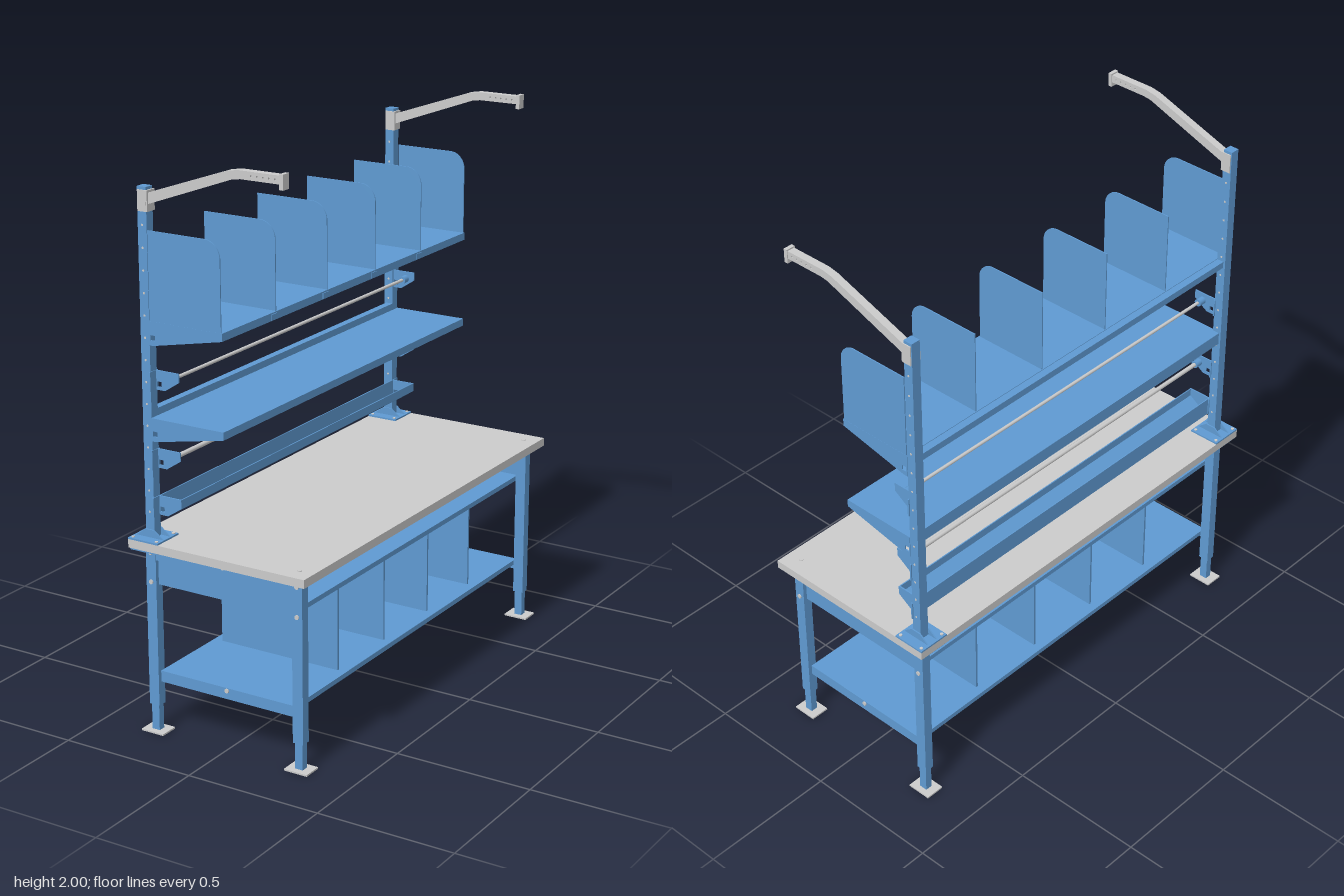
import * as THREE from 'three';

const blue = new THREE.MeshStandardMaterial({ color: 0x5f9ad2 });
const grey = new THREE.MeshStandardMaterial({ color: 0xcccccc });

export function createModel() {
  const root = new THREE.Group();
  root.name = 'packingBench';

  const add = (name, geometry, material) => {
    const mesh = new THREE.Mesh(geometry, material);
    mesh.name = name;
    root.add(mesh);
    return mesh;
  };
  // Box given by its limits on each axis
  const box = (name, x0, x1, y0, y1, z0, z1, material = blue) => {
    const mesh = add(name, new THREE.BoxGeometry(x1 - x0, y1 - y0, z1 - z0), material);
    mesh.position.set((x0 + x1) / 2, (y0 + y1) / 2, (z0 + z1) / 2);
    return mesh;
  };
  // Side profile in x and y, extruded along z about its middle
  const plate = (name, shape, z, thickness, material = blue) => {
    const g = new THREE.ExtrudeGeometry(shape, { depth: thickness, bevelEnabled: false, curveSegments: 8 });
    g.translate(0, 0, z - thickness / 2);
    return add(name, g, material);
  };
  const poly = (points) => new THREE.Shape(points.map(([x, y]) => new THREE.Vector2(x, y)));
  const squareHole = (x, y, s) => new THREE.Path(
    [[x - s, y - s], [x - s, y + s], [x + s, y + s], [x + s, y - s]].map(([a, b]) => new THREE.Vector2(a, b)));
  const rod = (name, x, y, z, radius, length, material = grey) => {
    const g = new THREE.CylinderGeometry(radius, radius, length, 12);
    g.rotateX(Math.PI / 2);
    add(name, g, material).position.set(x, y, z);
  };

  // Worktop and the frame below it
  box('worktop', -0.35, 0.345, 0.675, 0.705, -0.83, 0.83, grey);
  for (const x of [-0.28, 0.28]) box('longRail', x - 0.012, x + 0.012, 0.635, 0.675, -0.755, 0.755);

  for (const s of [-1, 1]) {
    const z = s * 0.77;
    // Legs with telescopic feet
    for (const x of [-0.29, 0.29]) {
      box('leg', x - 0.02, x + 0.02, 0.1, 0.675, z - 0.0175, z + 0.0175);
      box('innerLeg', x - 0.015, x + 0.015, 0.006, 0.1, z - 0.013, z + 0.013);
      box('footPlate', x - 0.045, x + 0.045, 0, 0.006, z - 0.035, z + 0.035, grey);
      for (const y of [0.55, 0.655]) rod('legBolt', x, y, z + s * 0.0185, 0.008, 0.006);
    }
    box('endRail', -0.27, 0.27, 0.63, 0.675, z - 0.015, z + 0.015);
    box('endPanel', -0.27, 0.27, 0.54, 0.63, z - 0.003, z + 0.003);
    box('lowerShelfEnd', -0.27, 0.27, 0.185, 0.225, z - 0.003, z + 0.003);
    rod('railBolt', 0, 0.66, z + s * 0.016, 0.008, 0.006);
    rod('shelfBolt', 0, 0.215, z + s * 0.004, 0.008, 0.006);
    const disc = add('worktopBolt', new THREE.CylinderGeometry(0.008, 0.008, 0.003, 12), grey);
    disc.position.set(0.29, 0.706, z);

    // Upright, its base plate and gussets
    box('upright', -0.306, -0.271, 0.705, 1.9, z - 0.0175, z + 0.0175);
    box('basePlate', -0.35, -0.23, 0.705, 0.711, z - 0.06, z + 0.06);
    box('underPlate', -0.345, -0.235, 0.668, 0.675, z - 0.055, z + 0.055);
    for (const d of [-0.02, 0.02]) {
      plate('baseGusset', poly([[-0.343, 0.71], [-0.235, 0.71], [-0.271, 0.738], [-0.306, 0.738]]), z + d, 0.005);
    }
    for (const x of [-0.338, -0.242]) for (const d of [-0.048, 0.048]) {
      const bolt = add('baseBolt', new THREE.CylinderGeometry(0.006, 0.006, 0.044, 8), grey);
      bolt.position.set(x, 0.692, z + d);
    }
    // Row of slots on the upright's faces
    for (let y = 0.8; y < 1.8; y += 0.075) {
      rod('uprightPin', -0.2885, y, z, 0.004, 0.037);
    }

    // Cranked overhead arm with clamp and end plate
    const armShape = poly([[-0.271, 1.843], [0.06, 1.963], [0.09, 1.967], [0.24, 1.967],
      [0.24, 1.995], [0.08, 1.995], [0.04, 1.988], [-0.271, 1.88]]);
    for (let i = 0; i < 5; i++) armShape.holes.push(squareHole(0.13 + i * 0.022, 1.981, 0.003));
    plate('overheadArm', armShape, z, 0.028, grey);
    box('armEndPlate', 0.236, 0.25, 1.95, 2, z - 0.017, z + 0.017, grey);
    box('armClampFront', -0.271, -0.265, 1.82, 1.89, z - 0.021, z + 0.021, grey);
    for (const d of [-0.0195, 0.0195]) box('armClampSide', -0.303, -0.271, 1.82, 1.89, z + d - 0.002, z + d + 0.002, grey);

    // Tapered shelf brackets
    for (const y of [1.05, 1.378]) {
      const h = y > 1.2 ? 1.46 : 1.13;
      const shape = poly([[-0.271, y], [-0.255, y], [0.015, h - 0.027], [0.015, h], [-0.271, h]]);
      shape.holes.push(squareHole(-0.257, y + 0.026, 0.009));
      plate('shelfBracket', shape, s * 0.787, 0.005);
    }
    // Short brackets for the roll rods and the tray
    for (const y of [0.785, 0.95, 1.22]) {
      const shape = poly([[-0.271, y], [-0.235, y], [-0.18, y + 0.036], [-0.18, y + 0.067], [-0.271, y + 0.067]]);
      shape.holes.push(squareHole(-0.257, y + 0.02, 0.009));
      plate('shortBracket', shape, s * 0.757, 0.005);
      box('bracketFlange', -0.275, -0.269, y, y + 0.067, z - 0.022, z + 0.022);
      if (y > 0.9) rod('rodHolder', -0.215, y + 0.04, s * 0.742, 0.014, 0.03, blue);
    }
  }

  // Roll rods
  rod('upperRollRod', -0.215, 1.26, 0, 0.006, 1.5);
  rod('lowerRollRod', -0.215, 0.99, 0, 0.008, 1.5);

  // Open tray above the worktop
  plate('tray', poly([[-0.271, 0.785], [-0.235, 0.785], [-0.18, 0.821], [-0.18, 0.852], [-0.184, 0.852],
    [-0.184, 0.823], [-0.236, 0.789], [-0.267, 0.789], [-0.267, 0.852], [-0.271, 0.852]]), 0, 1.515);

  // Overhead shelves: thin top with front and back lips
  for (const y of [1.13, 1.46]) {
    box('overheadShelf', -0.271, 0.015, y - 0.005, y, -0.788, 0.788);
    box('shelfFrontLip', 0.011, 0.015, y - 0.027, y, -0.788, 0.788);
    box('shelfBackLip', -0.271, -0.267, y - 0.027, y, -0.788, 0.788);
  }
  box('backRail', -0.298, -0.271, 1.108, 1.155, -0.753, 0.753);
  box('backRail', -0.298, -0.271, 1.433, 1.458, -0.753, 0.753);

  // Rounded dividers on the top shelf
  for (const z of [-0.787, -0.472, -0.157, 0.157, 0.472, 0.787]) {
    const shape = new THREE.Shape();
    shape.moveTo(-0.268, 1.46);
    shape.lineTo(0.011, 1.46);
    shape.lineTo(0.011, 1.7);
    shape.absarc(-0.049, 1.7, 0.06, 0, Math.PI / 2, false);
    shape.lineTo(-0.268, 1.76);
    plate('topDivider', shape, z, 0.004);
    if (Math.abs(z) < 0.7) box('dividerClip', 0.005, 0.018, 1.435, 1.455, z + 0.002, z + 0.036);
  }

  // Shelves under the worktop with dividers between them
  for (const y of [0.225, 0.563]) {
    box('underShelf', -0.27, 0.27, y - 0.005, y, -0.77, 0.77);
    for (const s of [-1, 1]) box('underShelfLip', s * 0.268 - 0.002, s * 0.268 + 0.002, y - 0.018, y, -0.77, 0.77);
  }
  for (const z of [-0.452, -0.151, 0.151, 0.452]) box('lowerDivider', -0.237, 0.237, 0.22, 0.56, z - 0.004, z + 0.004);

  return root;
}
